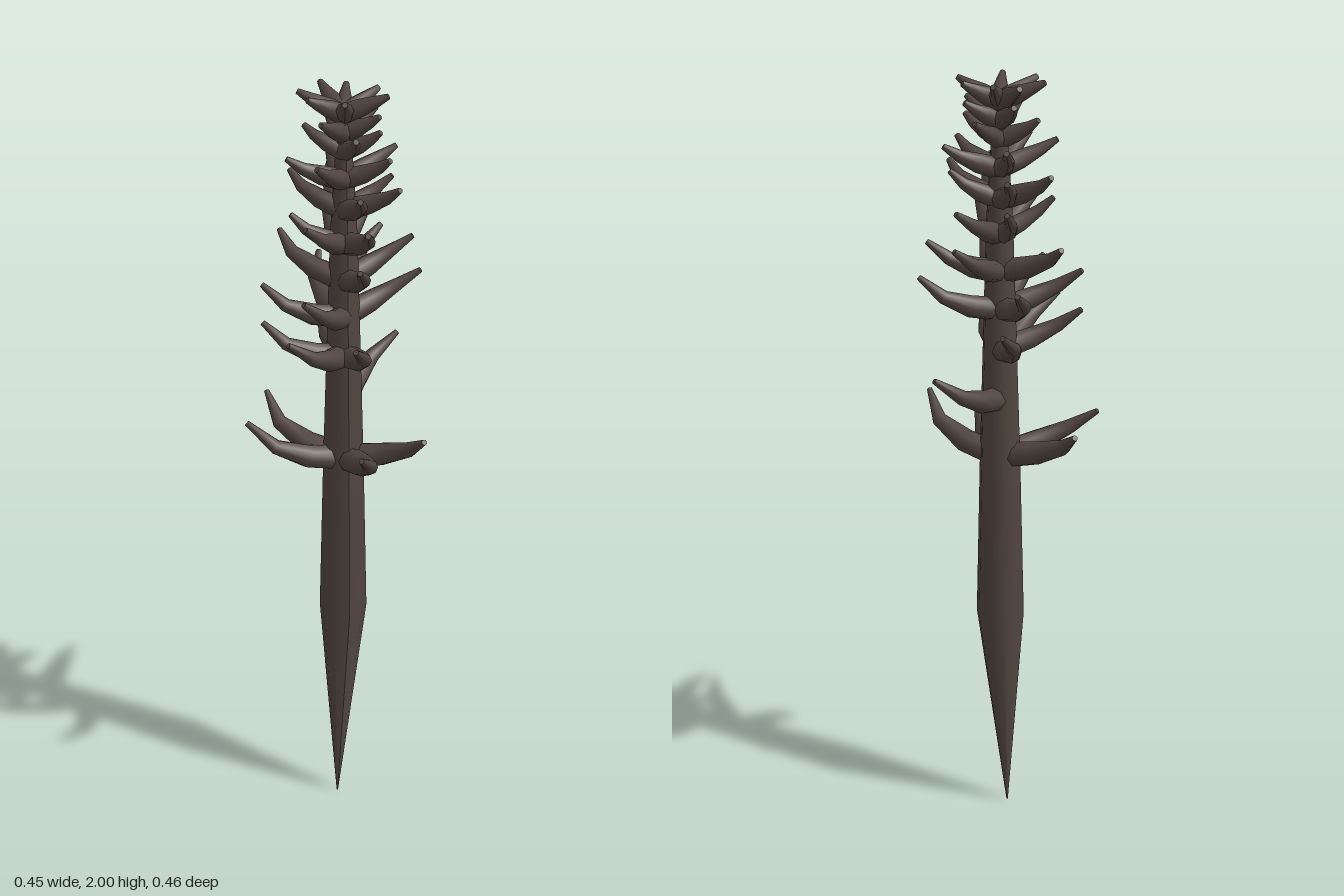
import * as THREE from 'three';

const AXIS = new THREE.Vector3(0.022, 0, -0.021);
const UP = new THREE.Vector3(0, 1, 0);

// Tapered limb: one ring of a cylinder per path point, caps included.
// Level limbs keep every ring horizontal.
function limb(points, radii, sides, level) {
  const n = points.length - 1;
  const geo = new THREE.CylinderGeometry(1, 1, 1, sides, n);
  const pos = geo.attributes.position;
  const frames = points.map((p, i) => {
    if (level) return { s: new THREE.Vector3(1, 0, 0), b: new THREE.Vector3(0, 0, 1) };
    const t = points[Math.min(i + 1, n)].clone().sub(points[Math.max(i - 1, 0)]).normalize();
    const s = new THREE.Vector3().crossVectors(UP, t).normalize();
    return { s, b: new THREE.Vector3().crossVectors(s, t) };
  });
  for (let k = 0; k < pos.count; k++) {
    const i = Math.round((pos.getY(k) + 0.5) * n);
    const v = points[i].clone()
      .addScaledVector(frames[i].s, pos.getX(k) * radii[i])
      .addScaledVector(frames[i].b, pos.getZ(k) * radii[i]);
    pos.setXYZ(k, v.x, v.y, v.z);
  }
  geo.computeVertexNormals();
  return geo;
}

// Thorn whose plan swings round the trunk while it curves upward.
// The angle (degrees) and reach give the tip, measured from the trunk axis.
function thornGeometry(tipY, rise, angle, reach, swing) {
  const path = [[0.0, -18, 0], [0.4, -17, 0.2], [0.74, -11, 0.52], [1, 0, 1]];
  const points = path.map(([r, turn, h]) => {
    const a = THREE.MathUtils.degToRad(angle + turn * swing);
    return new THREE.Vector3(
      AXIS.x + Math.cos(a) * r * reach,
      tipY - rise * (1 - THREE.MathUtils.lerp(r, h, swing)),
      AXIS.z + Math.sin(a) * r * reach);
  });
  const k = 0.5 + reach * 2.1;
  return limb(points, [0.034 * k, 0.03 * k, 0.019 * k, 0.007], 8, false);
}

// Tiers: tip height, rise, swing, then [angle, reach] for each thorn.
const TIERS = [
  [1.16, 0.115, 1, [[52, 0.245], [96, 0.245], [187, 0.245], [232, 0.245]]],
  [1.31, 0.11, 1, [[323, 0.23]]],
  [1.43, 0.1, 1, [[98, 0.205], [145, 0.21], [188, 0.2], [278, 0.205]]],
  [1.53, 0.095, 1, [[357, 0.2], [188, 0.2], [268, 0.2], [138, 0.18]]],
  [1.62, 0.09, 0.8, [[355, 0.18], [94, 0.18], [230, 0.19], [319, 0.17]]],
  [1.71, 0.085, 0.7, [[88, 0.18], [140, 0.16], [273, 0.145], [318, 0.165], [183, 0.13]]],
  [1.785, 0.075, 0.6, [[45, 0.15], [92, 0.155], [226, 0.15], [273, 0.15], [0, 0.12]]],
  [1.85, 0.065, 0.5, [[350, 0.14], [42, 0.12], [135, 0.13], [180, 0.14], [272, 0.12]]],
  [1.91, 0.055, 0.4, [[35, 0.09], [90, 0.1], [215, 0.1], [315, 0.1]]],
  [1.95, 0.05, 0.3, [[40, 0.09], [135, 0.11], [260, 0.1], [345, 0.09]]],
  [1.995, 0.05, 0.1, [[30, 0.105], [105, 0.09], [163, 0.1], [205, 0.11], [255, 0.11], [290, 0.08], [345, 0.095]]],
];

export function createModel() {
  const group = new THREE.Group();
  const bark = new THREE.MeshStandardMaterial({ color: 0x514540 });

  // Trunk, pointed at the foot: height and radius
  const profile = [[0, 0.002], [0.6, 0.062], [1.02, 0.052], [1.32, 0.043], [1.65, 0.033], [1.96, 0.014]];
  const points = profile.map(([y], i) => (i ? AXIS.clone().setY(y) : new THREE.Vector3(0, 0, 0)));
  const trunk = new THREE.Mesh(limb(points, profile.map((p) => p[1]), 10, true), bark);
  trunk.name = 'trunk';
  group.add(trunk);

  // Whorls of thorns
  TIERS.forEach(([y, rise, swing, thorns], i) => {
    const whorl = new THREE.Group();
    whorl.name = `thornWhorl${i + 1}`;
    for (const [angle, reach] of thorns) {
      const thorn = new THREE.Mesh(thornGeometry(y, rise, angle, reach, swing), bark);
      thorn.name = 'thorn';
      whorl.add(thorn);
    }
    group.add(whorl);
  });
  return group;
}
